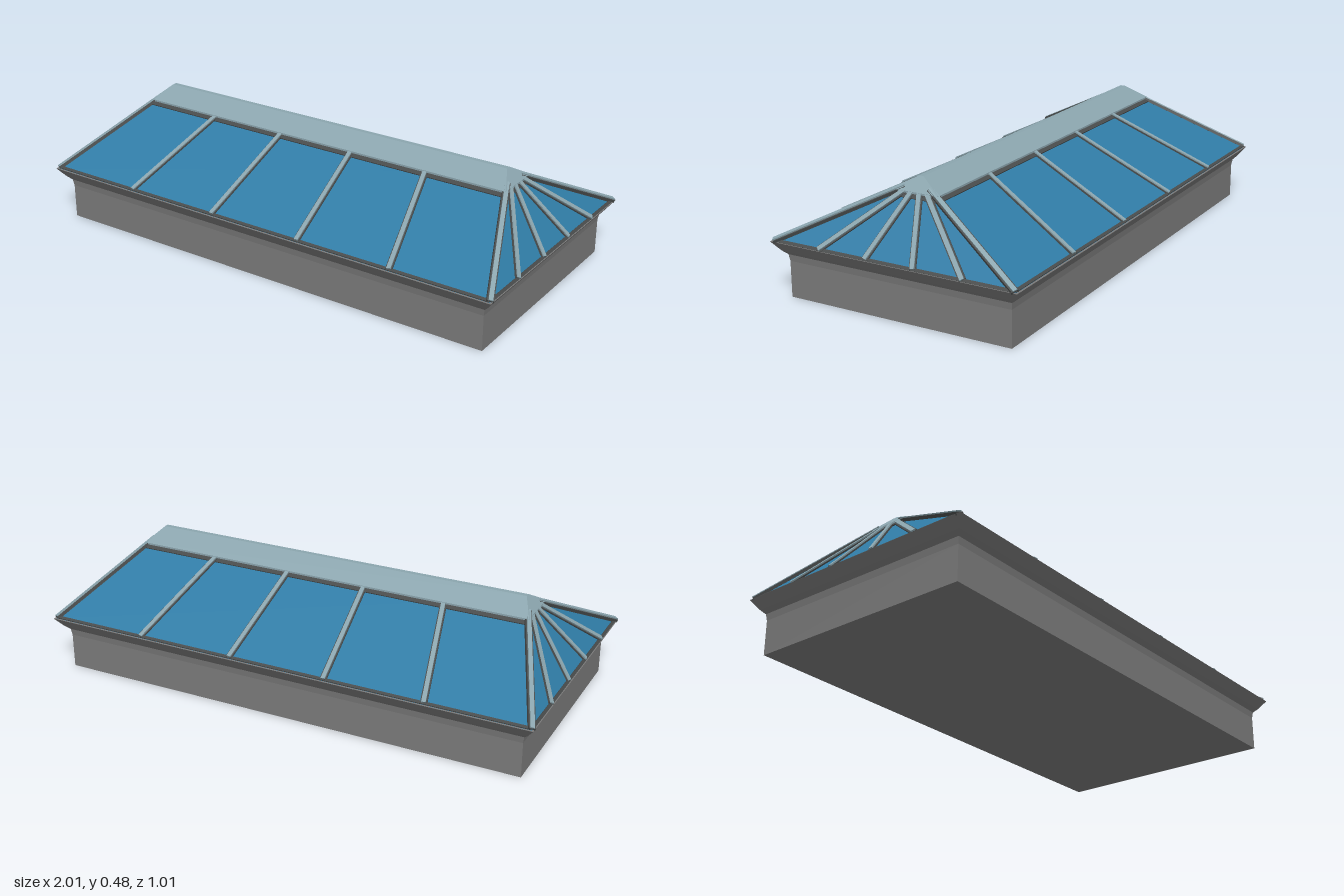
import * as THREE from 'three';

const V = (x, y, z) => new THREE.Vector3(x, y, z);

const material = (name, color) => {
  const m = new THREE.MeshStandardMaterial({ color });
  m.name = name;
  return m;
};

// Flat-shaded geometry from planar polygons, corners anticlockwise from outside
function facesGeometry(polys) {
  const pos = [];
  for (const p of polys) {
    for (let i = 1; i < p.length - 1; i++) {
      for (const v of [p[0], p[i], p[i + 1]]) pos.push(v.x, v.y, v.z);
    }
  }
  const g = new THREE.BufferGeometry();
  g.setAttribute('position', new THREE.Float32BufferAttribute(pos, 3));
  g.computeVertexNormals();
  return g;
}

// Rectangle corners, anticlockwise seen from above
const ring = ([hx, hz, y]) => [V(-hx, y, hz), V(hx, y, hz), V(hx, y, -hz), V(-hx, y, -hz)];

// Closed solid through stacked rectangles, listed bottom to top
function rectLoft(rows) {
  const rings = rows.map(ring);
  const polys = [rings[0].slice().reverse(), rings[rings.length - 1]];
  for (let r = 0; r < rings.length - 1; r++) {
    for (let i = 0; i < 4; i++) {
      const j = (i + 1) % 4;
      polys.push([rings[r][i], rings[r][j], rings[r + 1][j], rings[r + 1][i]]);
    }
  }
  return facesGeometry(polys);
}

export function createModel() {
  const model = new THREE.Group();
  model.name = 'roofLantern';
  const grey = material('kerb grey', 0x7a7a7a);
  const dark = material('dark gasket', 0x484b4b);
  const pale = material('pale frame', 0x8ba5ae);
  const blue = material('blue glass', 0x307ca6);

  const add = (name, geometry, mat, parent = model) => {
    const mesh = new THREE.Mesh(geometry, mat);
    mesh.name = name;
    parent.add(mesh);
    return mesh;
  };

  // Kerb with a coved lip: outward offset and height
  const profile = [[0, 0], [0, 0.137], [0.004, 0.163], [0.02, 0.179], [0.034, 0.198], [0.048, 0.217]];
  add('kerb', rectLoft(profile.map(([o, y]) => [0.952 + o, 0.457 + o, y])), grey);

  // Hipped glass: eave corners and ridge ends
  const EX = 0.993, EZ = 0.499, EY = 0.216, RX = 0.785, RY = 0.465;
  const [fl, fr, br, bl] = ring([EX, EZ, EY]);
  const rl = V(-RX, RY, 0), rr = V(RX, RY, 0);
  const slopes = [
    { name: 'front', a: fl, b: fr, c: rr, d: rl },
    { name: 'right', a: fr, b: br, c: rr, d: rr },
    { name: 'back', a: br, b: bl, c: rl, d: rr },
    { name: 'left', a: bl, b: fl, c: rl, d: rl },
  ];

  // Box lying on a slope from p to q, rising from the glass by height
  function bar(name, p, q, normal, width, height, mat, parent) {
    const along = q.clone().sub(p);
    const length = along.length();
    along.normalize();
    const side = normal.clone().cross(along).normalize();
    const up = along.clone().cross(side);
    const depth = height + 0.006;
    const mesh = add(name, new THREE.BoxGeometry(width, depth, length), mat, parent);
    mesh.quaternion.setFromRotationMatrix(new THREE.Matrix4().makeBasis(side, up, along));
    mesh.position.copy(p).lerp(q, 0.5).addScaledVector(up, height - depth / 2);
  }

  // Pale capping over a wider dark gasket
  function glazingBar(name, p, q, normal, lift = 0) {
    const group = new THREE.Group();
    group.name = name;
    model.add(group);
    bar('gasket', p, q, normal, 0.026, 0.005 + lift, dark, group);
    bar('capping', p, q, normal, 0.016, 0.010 + lift, pale, group);
  }

  const normals = [];
  for (const { name, a, b, c, d } of slopes) {
    const n = b.clone().sub(a).cross(c.clone().sub(a)).normalize();
    normals.push(n);
    add(name + 'Glass', facesGeometry([c === d ? [a, b, c] : [a, b, c, d]]), blue);

    // Four bars fan across each slope
    for (let i = 1; i < 5; i++) {
      const low = a.clone().lerp(b, i / 5), high = d.clone().lerp(c, i / 5);
      glazingBar(name + 'Bar', low.clone().lerp(high, 0.015), low.clone().lerp(high, 0.86), n);
    }

    // Dark strips along the eave and beneath the ridge cap
    for (const [t, width] of [[0.016, 0.012], [0.8, 0.022]]) {
      bar(name + 'Strip', a.clone().lerp(d, t), b.clone().lerp(c, t), n, width, 0.004, dark);
    }
  }

  // Hip bars at the four corners
  [[fr, rr, 0, 1], [br, rr, 1, 2], [bl, rl, 2, 3], [fl, rl, 3, 0]].forEach(([low, high, i, j]) => {
    const n = normals[i].clone().add(normals[j]).normalize();
    glazingBar('hipBar', low.clone().lerp(high, 0.012), low.clone().lerp(high, 0.9), n, 0.001);
  });

  // Hipped ridge cap
  add('ridgeCap', rectLoft([[0.828, 0.097, 0.423], [0.828, 0.097, 0.43], [0.785, 0.01, 0.478]]), pale);

  return model;
}
